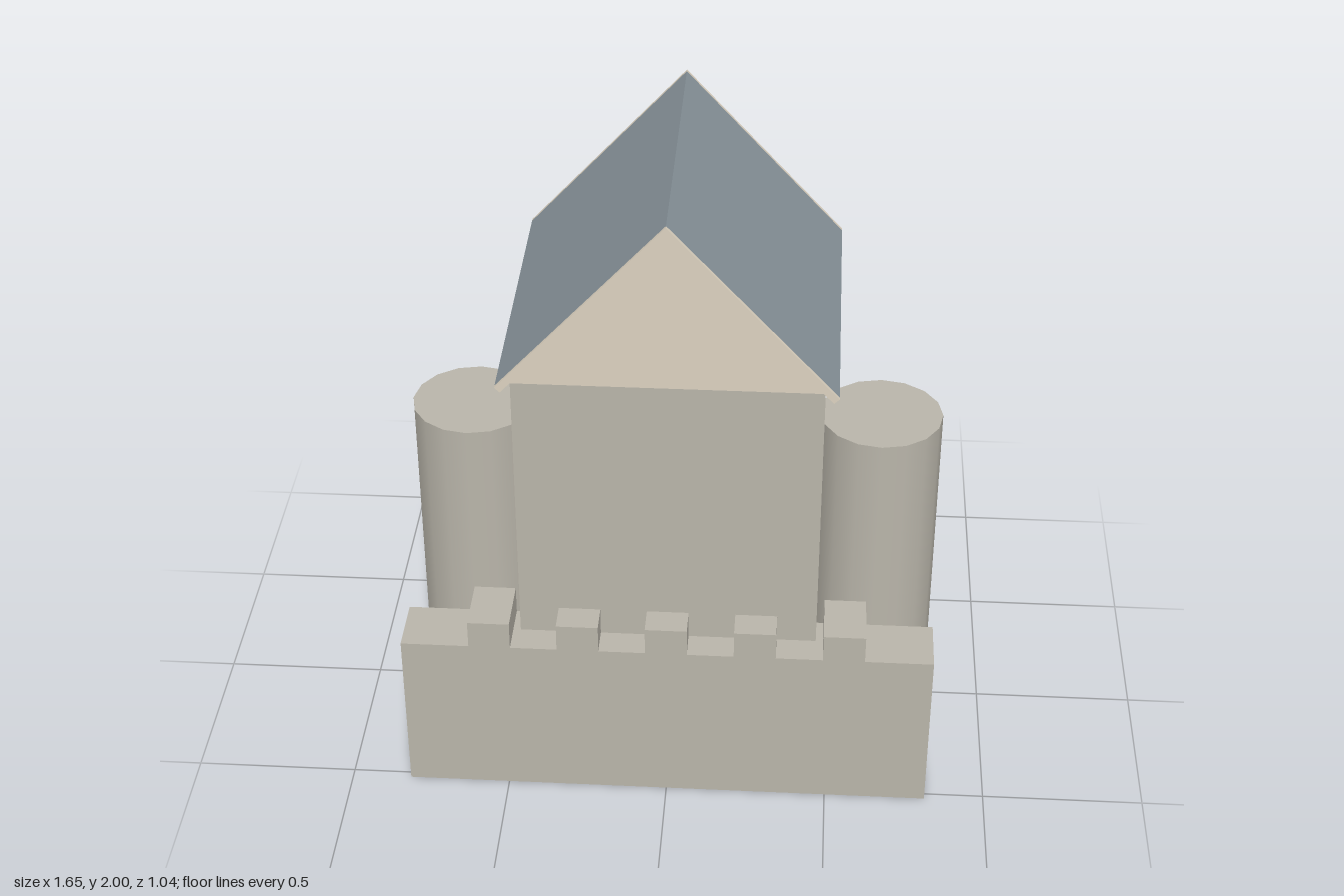
import * as THREE from 'three';

const paint = (color) => new THREE.MeshStandardMaterial({ color });

// Extrudes a front outline [x, y] from z0 (back) to z1 (front)
function slab(name, points, z0, z1, material) {
  const shape = new THREE.Shape(points.map(([x, y]) => new THREE.Vector2(x, y)));
  const geometry = new THREE.ExtrudeGeometry(shape, { depth: z1 - z0, bevelEnabled: false });
  geometry.translate(0, 0, z0);
  const mesh = new THREE.Mesh(geometry, material);
  mesh.name = name;
  return mesh;
}

export function createModel() {
  const model = new THREE.Group();
  model.name = 'gatehouse';
  const stone = paint(0xb9b5aa);
  const plaster = paint(0xdcd2c0);
  const slate = paint(0x89949b);

  // Main block
  const keep = new THREE.Mesh(new THREE.BoxGeometry(0.91, 1.45, 0.905), stone);
  keep.position.set(0, 0.725, -0.0225);
  keep.name = 'keep';
  model.add(keep);

  // Gable filling the space under the roof
  model.add(slab('gable', [[-0.455, 1.45], [0.455, 1.45], [0, 1.965]], -0.475, 0.43, plaster));

  // Roof slopes, with pale verge boards at both ends
  for (const [side, s] of [['left', 1], ['right', -1]]) {
    const outline = [[0, 1.967], [s * 0.479, 1.445], [s * 0.495, 1.46], [0, 2]];
    model.add(slab(side + 'RoofSlope', outline, -0.51, 0.46, slate));
    model.add(slab(side + 'FrontVerge', outline, 0.46, 0.472, plaster));
    model.add(slab(side + 'BackVerge', outline, -0.522, -0.51, plaster));

    // Round flanking tower
    const tower = new THREE.Mesh(new THREE.CylinderGeometry(0.19, 0.19, 1.09, 16), stone);
    tower.position.set(s * 0.635, 0.545, -0.025);
    tower.name = side + 'Tower';
    model.add(tower);
  }

  // Front wall with five merlons
  const wall = [[-0.815, 0], [0.815, 0], [0.815, 0.545]];
  for (let i = 2; i >= -2; i--) {
    const x = i * 0.271;
    wall.push([x + 0.064, 0.545], [x + 0.064, 0.635], [x - 0.064, 0.635], [x - 0.064, 0.545]);
  }
  wall.push([-0.815, 0.545]);
  model.add(slab('battlementWall', wall, 0.34, 0.522, stone));

  return model;
}
